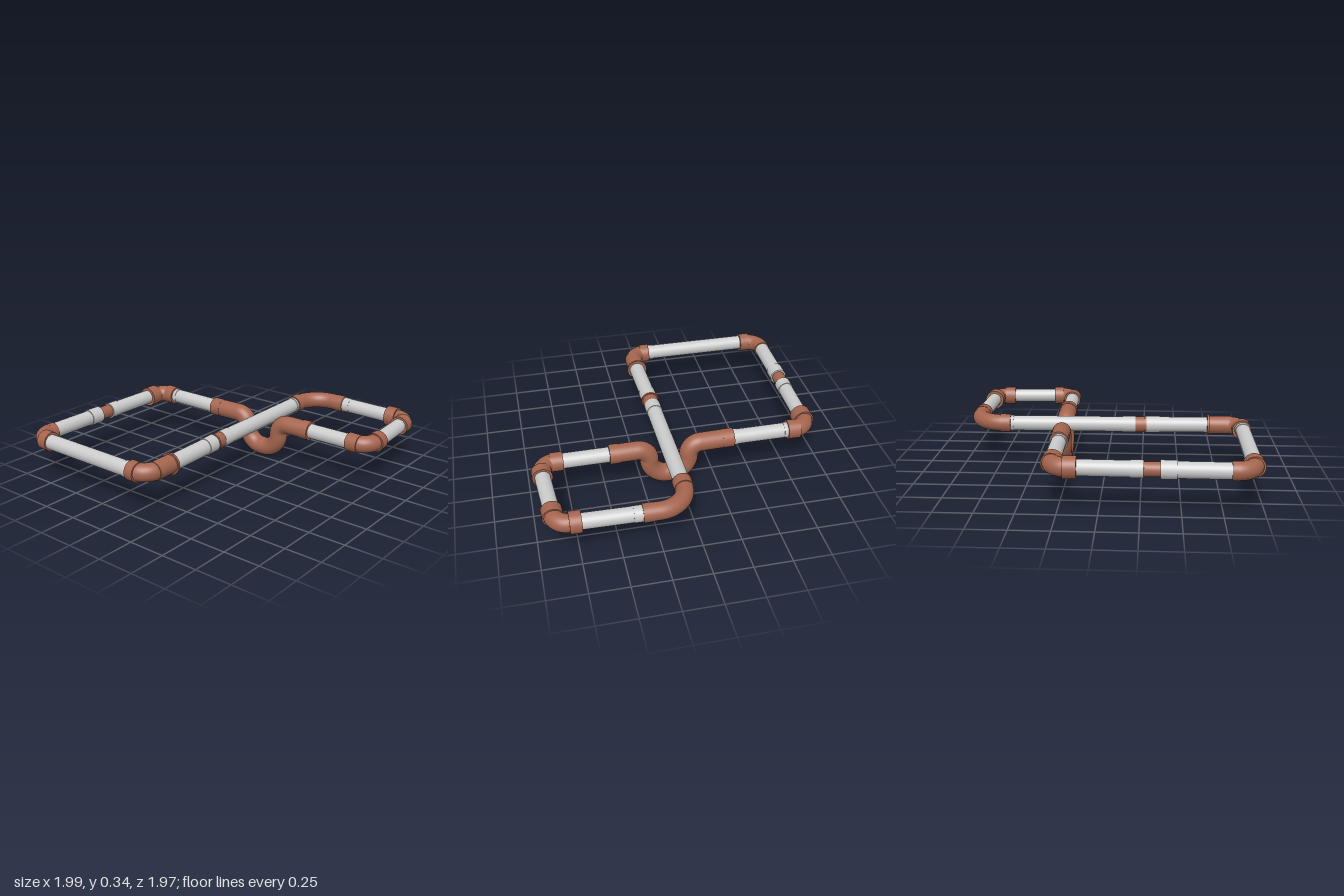
import * as THREE from 'three';

const Y = 0.277;
const grey = new THREE.MeshStandardMaterial({ color: 0xcccccc });
const clay = new THREE.MeshStandardMaterial({ color: 0xa5654f });
const P = (x, z, y = Y) => new THREE.Vector3(x, y, z);

// Straight capped cylinder between two points
function rod(name, a, b, r, mat) {
  const dir = b.clone().sub(a);
  const mesh = new THREE.Mesh(new THREE.CylinderGeometry(r, r, dir.length(), 32), mat);
  mesh.position.copy(a).add(b).multiplyScalar(0.5);
  mesh.quaternion.setFromUnitVectors(new THREE.Vector3(0, 1, 0), dir.normalize());
  mesh.name = name;
  return mesh;
}

// Tube along a polyline whose corners are rounded to the given radius
function bentTube(name, pts, bend, r) {
  const path = new THREE.CurvePath();
  let from = pts[0];
  for (let i = 1; i < pts.length - 1; i++) {
    const c = pts[i];
    const u = pts[i - 1].clone().sub(c).normalize();
    const v = pts[i + 1].clone().sub(c).normalize();
    const a = c.clone().addScaledVector(u, bend[i - 1]);
    const b = c.clone().addScaledVector(v, bend[i - 1]);
    if (from.distanceTo(a) > 0.002) path.add(new THREE.LineCurve3(from, a));
    path.add(new THREE.CubicBezierCurve3(a, a.clone().lerp(c, 0.552), b.clone().lerp(c, 0.552), b));
    from = b;
  }
  path.add(new THREE.LineCurve3(from, pts[pts.length - 1]));
  const mesh = new THREE.Mesh(new THREE.TubeGeometry(path, 30 * (pts.length - 1), r, 28, false), clay);
  mesh.name = name;
  return mesh;
}

// Elbow fitting: bent tube with a socket collar [length, radius] at each end
function elbow(name, start, corner, end, bend, r, startCollar, endCollar) {
  const g = new THREE.Group();
  g.name = name;
  g.add(bentTube('elbowBend', [start, corner, end], [bend], r));
  for (const [p, [len, cr]] of [[start, startCollar], [end, endCollar]]) {
    const inner = p.clone().add(corner.clone().sub(p).setLength(len));
    g.add(rod('elbowCollar', p, inner, cr, clay));
  }
  return g;
}

export function createModel() {
  const model = new THREE.Group();
  model.name = 'pipeLoop';

  // Straight pipes: start, end, radius
  const pipes = [
    ['leftPipe', P(-0.94, -0.82), P(-0.94, -0.02), 0.052],
    ['backLeftPipe', P(-0.82, -0.931), P(-0.37, -0.926), 0.052],
    ['backRightPipe', P(-0.27, -0.924), P(0.17, -0.914), 0.051],
    ['backDownPipe', P(0.294, -0.8), P(0.295, -0.36), 0.051],
    ['middleLeftPipe', P(-0.74, 0.088), P(-0.27, 0.075), 0.054],
    ['middleLongPipe', P(-0.2, 0.073), P(0.72, 0.065), 0.053],
    ['frontLeftPipe', P(0.31, 0.42), P(0.312, 0.82), 0.051],
    ['frontPipe', P(0.42, 0.918), P(0.82, 0.893), 0.051],
    ['rightPipe', P(0.93, 0.33), P(0.921, 0.78), 0.051],
  ];
  for (const [n, a, b, r] of pipes) model.add(rod(n, a, b, r, grey));

  // Grey socket sleeves on the pipes
  const sleeves = [
    [P(-0.47, -0.928), P(-0.37, -0.926), 0.058],
    [P(-0.272, -0.924), P(-0.19, -0.922), 0.055],
    [P(-0.37, 0.078), P(-0.272, 0.075), 0.058],
    [P(-0.2, 0.073), P(-0.11, 0.072), 0.056],
    [P(0.93, 0.35), P(0.929, 0.42), 0.053],
    [P(0.294, -0.78), P(0.294, -0.735), 0.053],
    [P(0.295, -0.41), P(0.295, -0.36), 0.054],
    [P(-0.94, -0.08), P(-0.94, -0.03), 0.055],
    [P(0.66, 0.065), P(0.7, 0.065), 0.056],
  ];
  for (const [a, b, r] of sleeves) model.add(rod('sleeve', a, b, r, grey));

  // Clay couplings
  model.add(rod('backCoupling', P(-0.38, -0.926), P(-0.26, -0.924), 0.046, clay));
  model.add(rod('middleCoupling', P(-0.28, 0.075), P(-0.19, 0.073), 0.054, clay));
  model.add(rod('middleCouplingRing', P(-0.277, 0.075), P(-0.265, 0.075), 0.062, clay));

  // Corner elbows
  model.add(
    elbow('backLeftElbow', P(-0.935, -0.782), P(-0.935, -0.93), P(-0.79, -0.93), 0.11, 0.058, [0.075, 0.066], [0.05, 0.059]),
    elbow('backRightElbow', P(0.13, -0.914), P(0.294, -0.914), P(0.292, -0.762), 0.1, 0.06, [0.085, 0.07], [0.085, 0.065]),
    elbow('middleLeftElbow', P(-0.935, -0.042), P(-0.935, 0.087), P(-0.705, 0.086), 0.1, 0.06, [0.065, 0.066], [0.16, 0.062]),
    elbow('largeElbow', P(0.68, 0.065), P(0.93, 0.065), P(0.93, 0.365), 0.19, 0.058, [0.075, 0.063], [0.07, 0.06]),
    elbow('frontLeftElbow', P(0.312, 0.77), P(0.312, 0.92), P(0.462, 0.916), 0.1, 0.058, [0.085, 0.063], [0.07, 0.066]),
    elbow('frontRightElbow', P(0.777, 0.896), P(0.922, 0.89), P(0.921, 0.732), 0.09, 0.058, [0.08, 0.066], [0.075, 0.07]),
  );
  model.add(rod('elbowFlange', P(-0.716, 0.086), P(-0.702, 0.086), 0.073, clay));

  // U-shaped dip that passes beneath the long pipe
  const trap = new THREE.Group();
  trap.name = 'underpass';
  trap.add(
    bentTube('underpassBend', [
      P(0.295, -0.375), P(0.303, -0.072), P(0.308, -0.072, 0.068),
      P(0.308, 0.198, 0.068), P(0.305, 0.198), P(0.31, 0.465),
    ], [0.08, 0.122, 0.122, 0.08], 0.063),
    rod('underpassCollar', P(0.295, -0.378), P(0.297, -0.3), 0.064, clay),
    rod('underpassCollar', P(0.309, 0.4), P(0.31, 0.468), 0.066, clay),
  );
  model.add(trap);
  return model;
}
